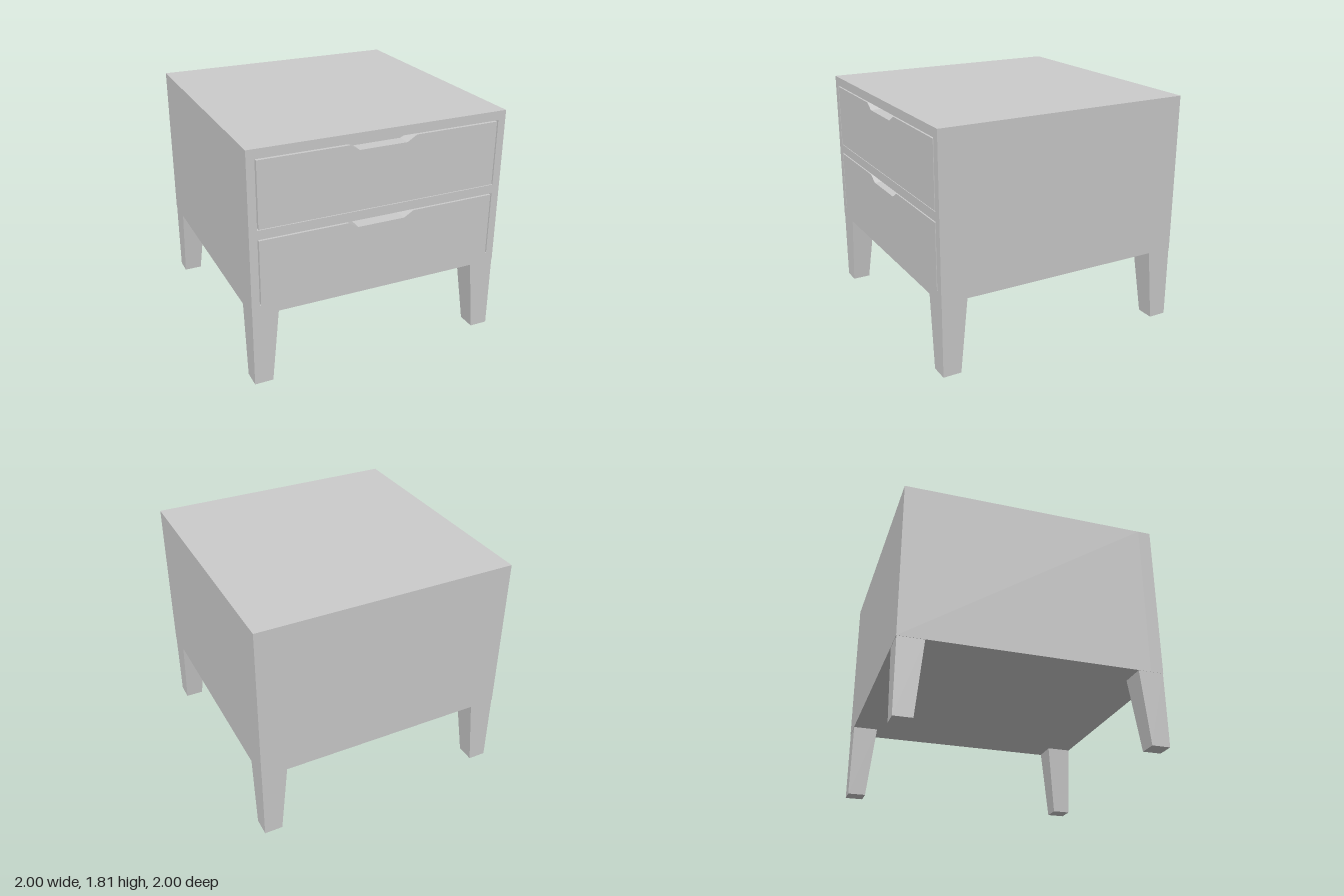
import * as THREE from 'three';

const material = new THREE.MeshStandardMaterial({ color: 0xcccccc, flatShading: true });
const BOTTOM = 0.575, TOP = 1.81, FRONT_DEPTH = 0.1;
const openings = [[1.23, 1.74], [0.65, 1.16]];

function add(parent, name, geometry) {
  const mesh = new THREE.Mesh(geometry, material);
  mesh.name = name;
  parent.add(mesh);
  return mesh;
}

function outline(points, Type = THREE.Shape) {
  return new Type(points.map(([x, y]) => new THREE.Vector2(x, y)));
}

const rect = (w, y0, y1) => [[-w, y0], [w, y0], [w, y1], [-w, y1]];
const extrude = (shape) =>
  new THREE.ExtrudeGeometry(shape, { depth: FRONT_DEPTH, bevelEnabled: false })
    .translate(0, 0, 1 - FRONT_DEPTH);

// Leg with straight outer faces; its two inner faces taper towards the foot
function legGeometry(sx, sz) {
  const geometry = new THREE.BoxGeometry(1, BOTTOM, 1);
  const p = geometry.attributes.position;
  for (let i = 0; i < p.count; i++) {
    const inner = p.getY(i) > 0 ? 0.8 : 0.857;
    const x = p.getX(i) * sx > 0 ? 0.998 : inner;
    const z = p.getZ(i) * sz > 0 ? 0.998 : inner;
    p.setXYZ(i, x * sx, p.getY(i) + BOTTOM / 2, z * sz);
  }
  geometry.computeVertexNormals();
  return geometry;
}

export function createModel() {
  const model = new THREE.Group();
  model.name = 'nightstand';

  // Cabinet behind the front frame
  const body = add(model, 'cabinet',
    new THREE.BoxGeometry(2, TOP - BOTTOM, 2 - FRONT_DEPTH));
  body.position.set(0, (TOP + BOTTOM) / 2, -FRONT_DEPTH / 2);

  // Front frame with one opening per drawer
  const frame = outline(rect(1, BOTTOM, TOP));
  for (const [y0, y1] of openings) {
    frame.holes.push(outline(rect(0.94, y0, y1), THREE.Path));
  }
  add(model, 'frontFrame', extrude(frame));

  // Drawer fronts, each with a finger notch in its top edge
  openings.forEach(([y0, y1], i) => {
    const top = y1 - 0.01, notch = y1 - 0.055, w = 0.93;
    const bottom = i === 0 ? y0 + 0.005 : y0;
    add(model, i === 0 ? 'upperDrawer' : 'lowerDrawer', extrude(outline([
      [-w, bottom], [w, bottom], [w, top],
      [0.26, top], [0.185, notch], [-0.185, notch], [-0.26, top], [-w, top],
    ])));
  });

  // Four corner legs
  for (const sx of [-1, 1]) {
    for (const sz of [-1, 1]) {
      add(model, `${sz > 0 ? 'front' : 'back'}${sx > 0 ? 'Left' : 'Right'}Leg`, legGeometry(sx, sz));
    }
  }
  return model;
}
